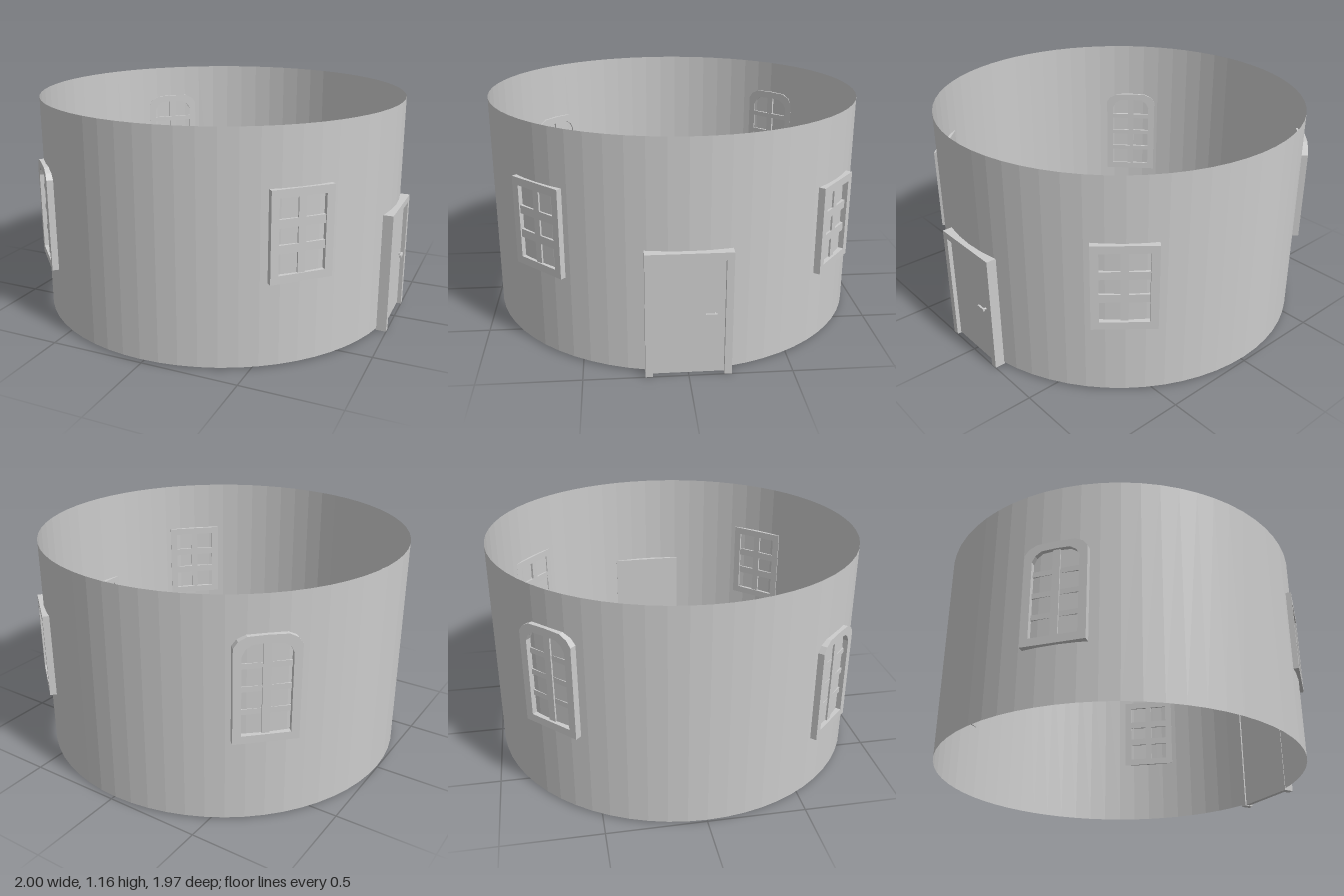
import * as THREE from 'three';

const AXIS_X = -0.015; // the wall axis sits slightly off centre because the door stands proud
const R = 0.985;

const material = new THREE.MeshStandardMaterial({ color: 0xcccccc, flatShading: true });
const wallMaterial = new THREE.MeshStandardMaterial({ color: 0xcccccc, flatShading: true, side: THREE.DoubleSide });

function box(name, w, h, d, x, y, z) {
  const mesh = new THREE.Mesh(new THREE.BoxGeometry(w, h, d), material);
  mesh.name = name;
  mesh.position.set(x, y, z);
  return mesh;
}

// Outline standing on y = 0, with an optional low faceted arch at the top
function outline(w, h, arched, inset) {
  const a = w / 2 - inset, lo = inset, hi = h - inset;
  const pts = [[-a, lo], [a, lo]];
  if (arched) {
    pts.push([a, hi - 0.055], [a * 0.86, hi - 0.024], [a * 0.6, hi - 0.003],
      [0, hi], [-a * 0.6, hi - 0.003], [-a * 0.86, hi - 0.024], [-a, hi - 0.055]);
  } else {
    pts.push([a, hi], [-a, hi]);
  }
  return pts.map(([x, y]) => new THREE.Vector2(x, y));
}

// Window facing local +z: frame plus glazing bars
function createWindow({ name, w, h, arched, rows, dist, y, angle }) {
  const group = new THREE.Group();
  group.name = name;
  const border = 0.04, depth = 0.035;

  const shape = new THREE.Shape(outline(w, h, arched, 0));
  shape.holes.push(new THREE.Path(outline(w, h, arched, border)));
  const frame = new THREE.Mesh(new THREE.ExtrudeGeometry(shape, { depth, bevelEnabled: false }), material);
  frame.name = 'windowFrame';
  frame.position.z = dist - depth / 2;
  group.add(frame);

  // Upright bar
  const innerH = h - 2 * border;
  group.add(box('uprightBar', 0.038, innerH, 0.022, 0, h / 2, 0.982));

  // Cross bars, set deeper into the wall on the arched windows
  for (let i = 1; i < rows; i++) {
    const barY = border + innerH * i / rows;
    group.add(box('crossBar', w - 2 * border, arched ? 0.028 : 0.042, arched ? 0.017 : 0.022,
      0, barY, arched ? 0.977 : 0.982));
  }

  const deg = THREE.MathUtils.degToRad(angle);
  group.position.set(AXIS_X, y, 0);
  group.rotation.y = deg;
  return group;
}

// Door facing local +z
function createDoor() {
  const door = new THREE.Group();
  door.name = 'door';
  const w = 0.41, h = 0.63, border = 0.035, back = 0.96, front = 1.015;

  // Frame open at the floor
  const a = w / 2, b = a - border;
  const shape = new THREE.Shape([[-a, 0], [-b, 0], [-b, h - border], [b, h - border],
    [b, 0], [a, 0], [a, h], [-a, h]].map(([x, y]) => new THREE.Vector2(x, y)));
  const frame = new THREE.Mesh(
    new THREE.ExtrudeGeometry(shape, { depth: front - back, bevelEnabled: false }), material);
  frame.name = 'doorFrame';
  frame.position.z = back;
  door.add(frame);

  door.add(box('doorLeaf', 2 * b, h - border - 0.005, 0.025, 0, (h - border + 0.005) / 2, 0.981));

  // Lever handle on a short stem
  const stem = new THREE.Mesh(new THREE.CylinderGeometry(0.006, 0.006, 0.02, 10), material);
  stem.name = 'handleStem';
  stem.rotation.x = Math.PI / 2;
  stem.position.set(0.122, 0.314, 1.0);
  door.add(stem, box('handleLever', 0.054, 0.013, 0.01, 0.104, 0.314, 1.01));

  door.position.x = AXIS_X;
  door.rotation.y = Math.PI / 2;
  return door;
}

export function createModel() {
  const model = new THREE.Group();
  model.name = 'roundHouseWall';

  // Thin round wall, open above and below
  const height = 1.155;
  const wall = new THREE.Mesh(new THREE.CylinderGeometry(R, R, height, 64, 1, true), wallMaterial);
  wall.name = 'wall';
  wall.position.set(AXIS_X, 0.01 + height / 2, 0);
  model.add(wall);

  model.add(createDoor());

  const square = { w: 0.318, h: 0.45, arched: false, rows: 3 };
  const arch = { w: 0.318, h: 0.54, arched: true, rows: 4 };
  model.add(
    createWindow({ ...square, name: 'frontLeftWindow', dist: 0.982, y: 0.43, angle: 45.2 }),
    createWindow({ ...square, name: 'backLeftWindow', dist: 0.988, y: 0.38, angle: 140.3 }),
    createWindow({ ...arch, name: 'frontRightWindow', dist: 0.987, y: 0.3, angle: -45.8 }),
    createWindow({ ...arch, name: 'backRightWindow', dist: 0.988, y: 0.44, angle: -135.4 }),
  );
  return model;
}
